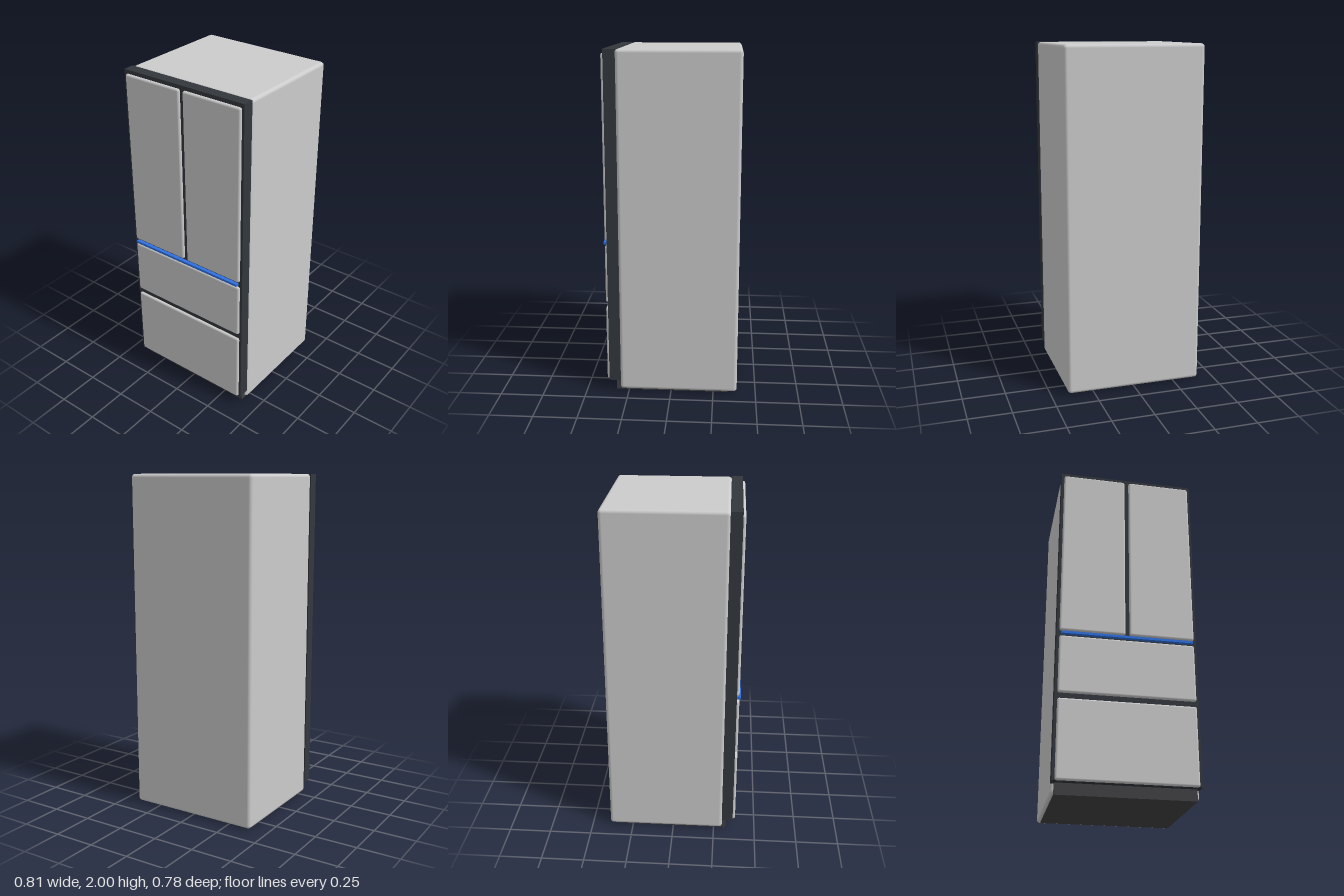
import * as THREE from 'three';
import { RoundedBoxGeometry } from 'three/addons/geometries/RoundedBoxGeometry.js';

const grey = new THREE.MeshStandardMaterial({ color: 0xcccccc });
const dark = new THREE.MeshStandardMaterial({ color: 0x33373d });
const baseDark = new THREE.MeshStandardMaterial({ color: 0x414144 });
const blue = new THREE.MeshStandardMaterial({ color: 0x2f70e0 });

export function createModel() {
  const model = new THREE.Group();
  model.name = 'refrigerator';

  // Box given by its extents; a radius rounds its edges
  function box(name, material, [x0, x1], [y0, y1], [z0, z1], radius = 0) {
    const size = [x1 - x0, y1 - y0, z1 - z0];
    const geometry = radius
      ? new RoundedBoxGeometry(...size, 4, radius)
      : new THREE.BoxGeometry(...size);
    const mesh = new THREE.Mesh(geometry, material);
    mesh.name = name;
    mesh.position.set((x0 + x1) / 2, (y0 + y1) / 2, (z0 + z1) / 2);
    model.add(mesh);
  }

  // Cabinet with the door frame on its front
  box('cabinet', grey, [-0.403, 0.403], [0.008, 2], [-0.39, 0.302], 0.02);
  box('doorFrame', dark, [-0.403, 0.403], [0.065, 2], [0.3, 0.366]);

  // Base plate, reaching forward as the kick plate
  box('base', baseDark, [-0.385, 0.385], [0, 0.066], [-0.335, 0.325]);

  // Pair of upper doors
  for (const side of [-1, 1]) {
    const xs = [side * 0.012, side * 0.388].sort((a, b) => a - b);
    box(side > 0 ? 'leftDoor' : 'rightDoor', grey, xs, [0.923, 1.978], [0.34, 0.381], 0.012);
  }

  // Two full-width drawers
  box('upperDrawer', grey, [-0.388, 0.388], [0.55, 0.89], [0.34, 0.381], 0.012);
  box('lowerDrawer', grey, [-0.388, 0.388], [0.065, 0.518], [0.34, 0.381], 0.012);

  // Light strip between the doors and the upper drawer
  box('accentStrip', blue, [-0.378, 0.378], [0.9, 0.914], [0.35, 0.388]);

  return model;
}
